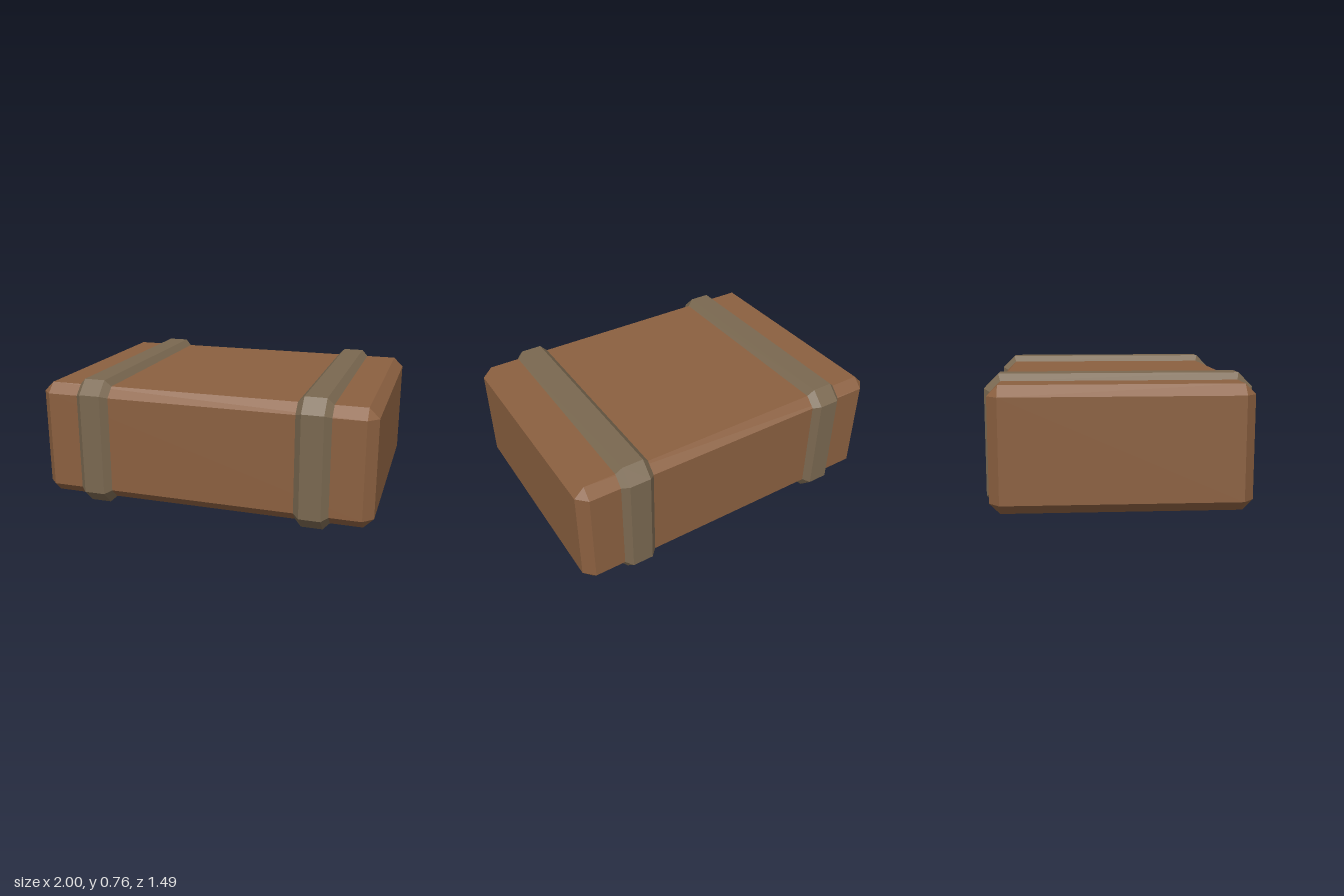
import * as THREE from 'three';

const CENTRE_Y = 0.3825;

// Chamfered rectangle in the yz plane, counter-clockwise seen from +x
function section(x, hy, hz, c) {
  return [
    [hy, -hz + c], [hy, hz - c], [hy - c, hz], [-hy + c, hz],
    [-hy, hz - c], [-hy, -hz + c], [-hy + c, -hz], [hy - c, -hz],
  ].map(([y, z]) => new THREE.Vector3(x, y, z));
}

// Joins sections listed from low x to high x, with flat ends if capped
function loft(sections, capped) {
  const points = [];
  const tri = (a, b, c) => {
    if (new THREE.Triangle(a, b, c).getArea() > 1e-7) points.push(a, b, c);
  };
  for (let s = 0; s < sections.length - 1; s++) {
    const a = sections[s], b = sections[s + 1];
    for (let i = 0; i < a.length; i++) {
      const j = (i + 1) % a.length;
      tri(a[i], a[j], b[j]);
      tri(a[i], b[j], b[i]);
    }
  }
  if (capped) {
    const first = sections[0], last = sections[sections.length - 1];
    for (let i = 1; i < first.length - 1; i++) {
      tri(first[0], first[i + 1], first[i]);
      tri(last[0], last[i], last[i + 1]);
    }
  }
  const geometry = new THREE.BufferGeometry().setFromPoints(points);
  geometry.computeVertexNormals();
  return geometry;
}

export function createModel() {
  const model = new THREE.Group();
  model.name = 'strappedCrate';
  const wood = new THREE.MeshStandardMaterial({ color: 0x8b6040, flatShading: true });
  const strapMaterial = new THREE.MeshStandardMaterial({
    color: 0x7a6850, flatShading: true, side: THREE.DoubleSide,
  });

  // Crate body: every edge bevelled, corners cut to triangles
  const hy = 0.345, hz = 0.71, bevel = 0.058;
  const end = [hy - bevel, hz - bevel, 0];
  const middle = [hy, hz, bevel];
  const body = new THREE.Mesh(loft([
    section(-1, ...end), section(-1 + bevel, ...middle),
    section(1 - bevel, ...middle), section(1, ...end),
  ], true), wood);
  body.name = 'crateBody';
  body.position.y = CENTRE_Y;
  model.add(body);

  // Two raised straps wrapped around the body, sloping down to its surface
  const outer = [CENTRE_Y, 0.745, 0.08];
  const strapGeometry = loft([
    section(-0.1, ...middle), section(-0.0625, ...outer),
    section(0.0625, ...outer), section(0.1, ...middle),
  ], false);
  for (const side of [-1, 1]) {
    const strap = new THREE.Mesh(strapGeometry, strapMaterial);
    strap.name = side > 0 ? 'leftStrap' : 'rightStrap';
    strap.position.set(side * 0.657, CENTRE_Y, 0);
    model.add(strap);
  }
  return model;
}
